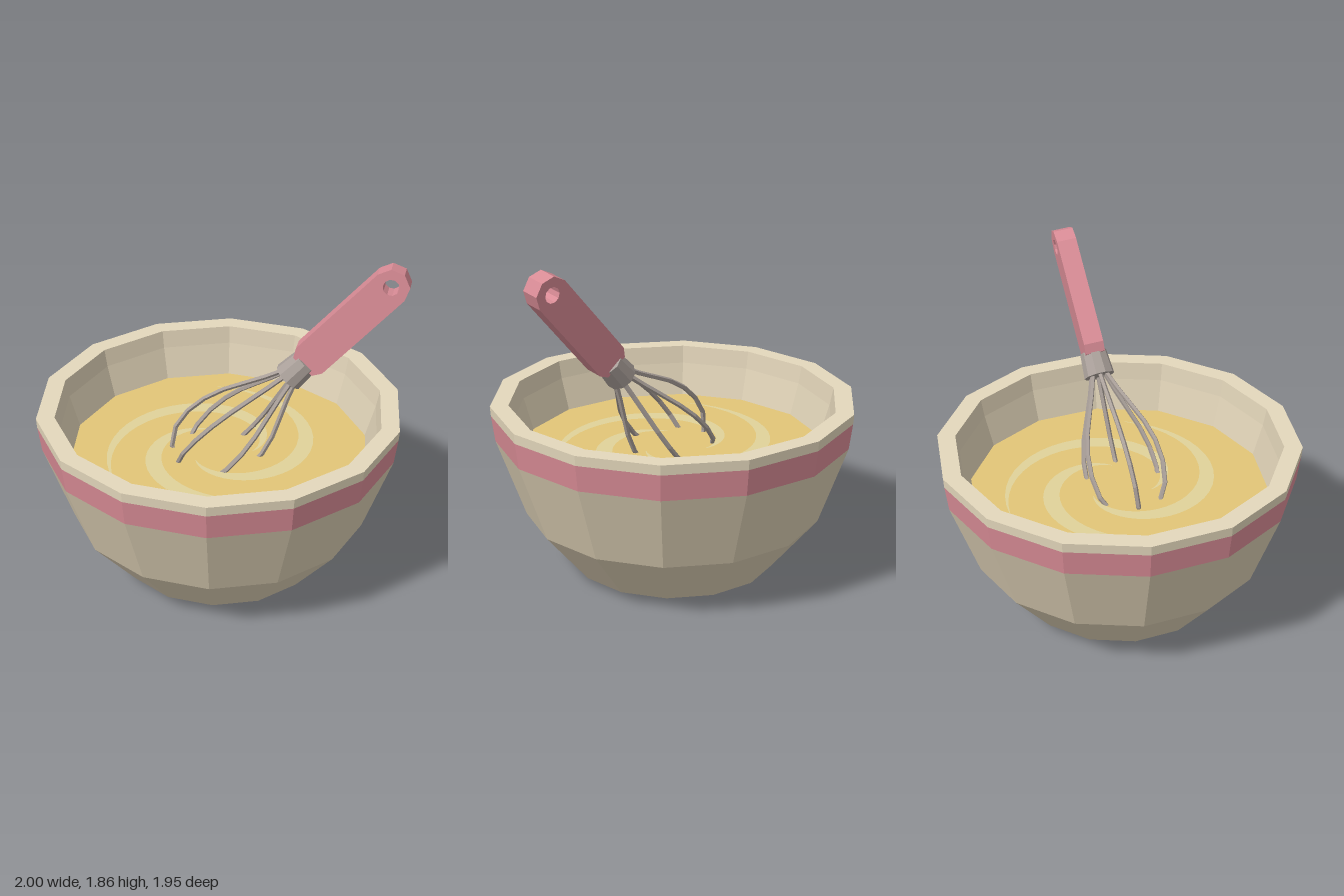
import * as THREE from 'three';

const flat = (name, color) => {
  const m = new THREE.MeshStandardMaterial({ color, flatShading: true });
  m.name = name;
  return m;
};

const SIDES = 14;
const BATTER_Y = 0.7;

export function createModel() {
  const cream = flat('cream ceramic', 0xdccfb4);
  const rimCream = flat('pale rim', 0xe4d8bc);
  const pink = flat('pink', 0xd98c96);
  const batterMat = flat('batter', 0xe2c678);
  const swirlMat = flat('batter swirl', 0xe0d29a);
  const metal = flat('whisk metal', 0xaaa09a);

  const model = new THREE.Group();
  model.name = 'mixingBowlWithWhisk';

  const add = (parent, name, geometry, material) => {
    const mesh = new THREE.Mesh(geometry, material);
    mesh.name = name;
    parent.add(mesh);
    return mesh;
  };

  // Bowl: fourteen-sided rings, corners on the x axis
  const bowl = new THREE.Group();
  bowl.name = 'bowl';
  bowl.rotation.y = Math.PI / 2;
  model.add(bowl);
  const ring = (name, profile, material) => add(bowl, name,
    new THREE.LatheGeometry(profile.map(([r, y]) => new THREE.Vector2(r, y)), SIDES), material);

  ring('bowlBody', [[0, 0], [0.48, 0], [0.57, 0.04], [0.82, 0.34], [0.977, 0.78]], cream);
  ring('bowlStripe', [[0.977, 0.78], [0.996, 0.925]], pink);
  ring('bowlRim', [[0.996, 0.925], [1, 0.98], [0.9, 0.98]], rimCream);
  ring('bowlInside', [[0.9, 0.98], [0.88, 0.88], [0.82, 0.68]], cream);

  // Batter filling
  const batter = add(bowl, 'batter', new THREE.CylinderGeometry(0.828, 0.81, 0.04, SIDES), batterMat);
  batter.position.y = BATTER_Y - 0.02;

  // Three spiral ribbons on the batter, tapered at both ends
  const swirlShape = (start) => {
    const outer = [], inner = [], steps = 28;
    for (let i = 0; i <= steps; i++) {
      const t = i / steps;
      const a = -(start + t * 225) * Math.PI / 180;
      const r = 0.66 - 0.47 * t;
      const half = 0.002 + 0.046 * Math.pow(Math.sin(Math.PI * t), 1.1);
      outer.push(new THREE.Vector2(Math.cos(a) * (r + half), Math.sin(a) * (r + half)));
      inner.push(new THREE.Vector2(Math.cos(a) * (r - half), Math.sin(a) * (r - half)));
    }
    return new THREE.Shape([...outer, ...inner.reverse()]);
  };
  for (let i = 0; i < 3; i++) {
    const swirl = add(model, 'batterSwirl', new THREE.ShapeGeometry(swirlShape(12 + i * 120)), swirlMat);
    swirl.rotation.x = -Math.PI / 2;
    swirl.position.y = BATTER_Y + 0.005;
  }

  // Whisk: local y runs up the handle, leaning right and back
  const whisk = new THREE.Group();
  whisk.name = 'whisk';
  const along = new THREE.Vector3(0.659, 0.738, -0.148).normalize();
  const across = new THREE.Vector3(0.746, -0.666, 0).normalize();
  const through = new THREE.Vector3().crossVectors(across, along).normalize();
  across.crossVectors(along, through);
  whisk.quaternion.setFromRotationMatrix(new THREE.Matrix4().makeBasis(across, along, through));
  whisk.position.set(0.45, 1.275, -0.067);
  model.add(whisk);

  // Handle with faceted round end and hanging hole
  const R = 0.098, endY = 0.655;
  const outline = [[-0.07, 0], [0.07, 0], [R, 0.05]].map(([x, y]) => new THREE.Vector2(x, y));
  for (let i = 0; i <= 4; i++) {
    const a = i * Math.PI / 4;
    outline.push(new THREE.Vector2(R * Math.cos(a), endY + R * Math.sin(a)));
  }
  outline.push(new THREE.Vector2(-R, 0.05));
  const handleShape = new THREE.Shape(outline);
  const hole = new THREE.Path();
  hole.absarc(0, endY, 0.044, 0, Math.PI * 2, true);
  handleShape.holes.push(hole);
  const handleGeo = new THREE.ExtrudeGeometry(handleShape, { depth: 0.11, bevelEnabled: false, curveSegments: 5 });
  handleGeo.translate(0, 0, -0.055);
  add(whisk, 'handle', handleGeo, pink);

  // Metal collar
  const collar = add(whisk, 'collar', new THREE.CylinderGeometry(0.075, 0.086, 0.14, 10), metal);
  collar.position.y = -0.05;

  // Six wires bulging out and dipping into the batter
  const wireProfile = [[0.04, -0.1], [0.1, -0.25], [0.188, -0.44], [0.23, -0.61], [0.22, -0.78], [0.15, -0.9], [0.04, -0.96]];
  for (let i = 0; i < 6; i++) {
    const a = i * Math.PI / 3;
    const path = new THREE.CatmullRomCurve3(wireProfile.map(([r, y]) =>
      new THREE.Vector3(r * Math.cos(a), y, r * Math.sin(a))));
    add(whisk, 'wire', new THREE.TubeGeometry(path, 8, 0.014, 5, false), metal);
  }

  return model;
}
